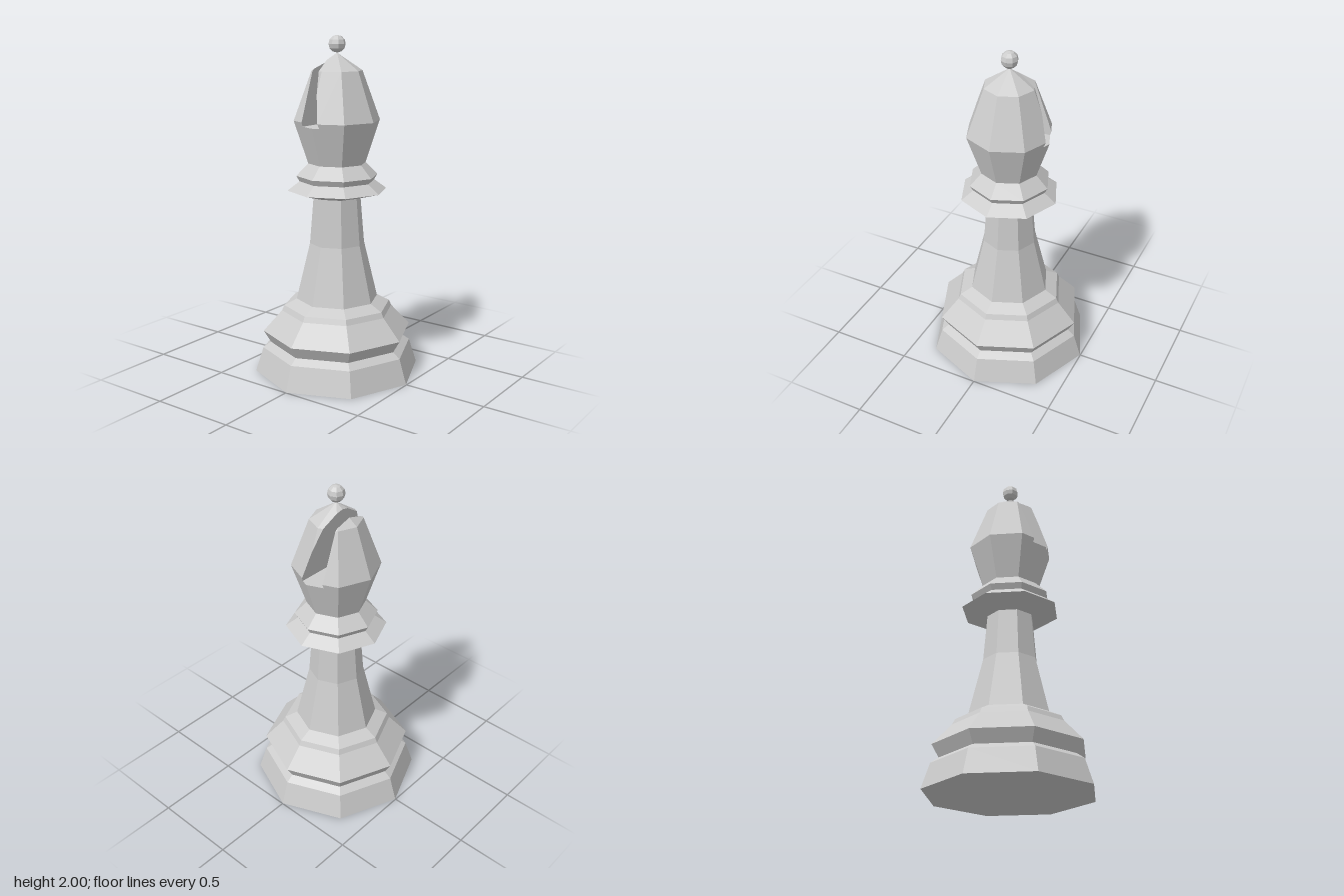
import * as THREE from 'three';
import { ConvexGeometry } from 'three/addons/geometries/ConvexGeometry.js';

const SIDES = 8;
const material = new THREE.MeshStandardMaterial({ color: 0xcccccc, flatShading: true });

function addPart(group, name, geometry) {
  const flat = geometry.index ? geometry.toNonIndexed() : geometry;
  flat.computeVertexNormals();
  const mesh = new THREE.Mesh(flat, material);
  mesh.name = name;
  group.add(mesh);
  return mesh;
}

// Eight-sided turned part from [radius, height] pairs, bottom to top
function turned(profile) {
  return new THREE.LatheGeometry(profile.map(([r, y]) => new THREE.Vector2(r, y)), SIDES);
}

// Corner points of a convex turned solid
function ringPoints(profile) {
  const points = [];
  for (const [r, y] of profile) {
    const count = r > 0 ? SIDES : 1;
    for (let i = 0; i < count; i++) {
      const a = (i / SIDES) * Math.PI * 2;
      points.push(new THREE.Vector3(r * Math.sin(a), y, r * Math.cos(a)));
    }
  }
  return points;
}

// Keeps the part of a convex solid on the positive side of a plane
function clip(points, plane) {
  const kept = points.filter((p) => plane.distanceToPoint(p) >= 0);
  for (const p of points) {
    for (const q of points) {
      const dp = plane.distanceToPoint(p);
      const dq = plane.distanceToPoint(q);
      if (dp > 1e-6 && dq < -1e-6) kept.push(p.clone().lerp(q, dp / (dp - dq)));
    }
  }
  return kept;
}

export function createModel() {
  const group = new THREE.Group();
  group.name = 'chessBishop';

  // Stepped foot
  addPart(group, 'base', turned([
    [0, 0], [0.497, 0], [0.45, 0.147], [0.405, 0.18], [0.447, 0.252],
    [0.335, 0.375], [0.32, 0.407], [0.245, 0.445], [0, 0.445],
  ]));

  // Tapering stem
  addPart(group, 'stem', turned([[0.245, 0.445], [0.163, 0.785], [0.14, 1.065]]));

  // Flared collar with a smaller ring above
  addPart(group, 'collar', turned([
    [0, 1.065], [0.14, 1.065], [0.294, 1.107], [0.222, 1.16],
    [0.241, 1.193], [0.17, 1.265], [0, 1.265],
  ]));

  // Head, divided by a tapered slot running front to back
  const head = ringPoints([[0.17, 1.265], [0.253, 1.515], [0.148, 1.8], [0, 1.9]]);
  const floor = 1.49;
  const above = new THREE.Plane(new THREE.Vector3(0, 1, 0), -floor);
  const upper = clip(head, above);
  const leftWall = new THREE.Plane(new THREE.Vector3(-1, 0, 0), -0.093);
  // Slanted wall through (0.042, floor) and (-0.045, 1.87)
  const slantNormal = new THREE.Vector3(0.38, 0.087, 0).normalize();
  const slantWall = new THREE.Plane().setFromNormalAndCoplanarPoint(
    slantNormal, new THREE.Vector3(0.042, floor, 0));
  addPart(group, 'headLower', new ConvexGeometry(clip(head, above.clone().negate())));
  addPart(group, 'headRight', new ConvexGeometry(clip(upper, leftWall)));
  addPart(group, 'headLeft', new ConvexGeometry(clip(upper, slantWall)));

  // Ball finial
  addPart(group, 'finial', new THREE.SphereGeometry(0.05, SIDES, 6)).position.y = 1.95;

  return group;
}
